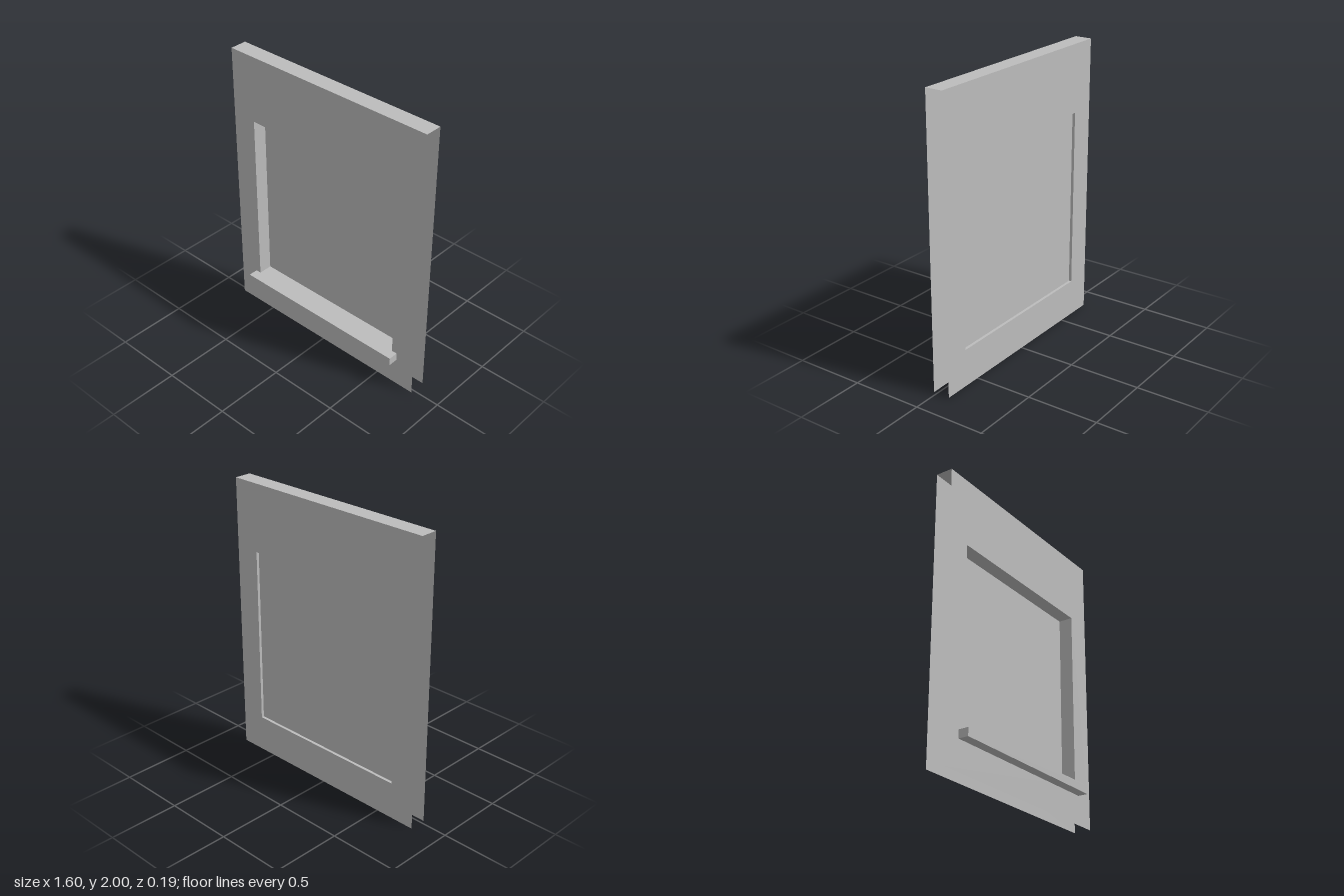
import * as THREE from 'three';

export function createModel() {
  const group = new THREE.Group();
  const grey = new THREE.MeshStandardMaterial({ color: 0xbcbcbc, side: THREE.DoubleSide });
  grey.name = 'plain grey';

  const front = 0.025, back = -0.095, paneZ = -0.075;
  const depth = front - back, midZ = (front + back) / 2;
  const halfW = 0.8, height = 2;
  const holeW = 0.62, holeBottom = 0.262, holeTop = 1.523;
  const holeH = holeTop - holeBottom, holeMidY = (holeTop + holeBottom) / 2;

  const add = (name, geometry, x, y, z) => {
    const mesh = new THREE.Mesh(geometry, grey);
    mesh.name = name;
    mesh.position.set(x, y, z);
    group.add(mesh);
    return mesh;
  };

  // Wall sheets with a window opening
  const wall = new THREE.Shape([
    new THREE.Vector2(-halfW, 0), new THREE.Vector2(halfW, 0),
    new THREE.Vector2(halfW, height), new THREE.Vector2(-halfW, height),
  ]);
  wall.holes.push(new THREE.Path([
    new THREE.Vector2(-holeW, holeBottom), new THREE.Vector2(-holeW, holeTop),
    new THREE.Vector2(holeW, holeTop), new THREE.Vector2(holeW, holeBottom),
  ]));
  add('frontWall', new THREE.ShapeGeometry(wall), 0, 0, front);
  add('backWall', new THREE.ShapeGeometry(wall).rotateY(Math.PI), 0, 0, back);

  // Cap closing the wall's top; its sides and bottom stay open
  add('wallTop', new THREE.PlaneGeometry(halfW * 2, depth).rotateX(-Math.PI / 2), 0, height, midZ);

  // Reveal lining the opening, facing inwards
  for (const side of [-1, 1]) {
    const jamb = new THREE.PlaneGeometry(depth, holeH).rotateY(-side * Math.PI / 2);
    add(side > 0 ? 'leftJamb' : 'rightJamb', jamb, side * holeW, holeMidY, midZ);
    const lining = new THREE.PlaneGeometry(holeW * 2, depth).rotateX(side * Math.PI / 2);
    add(side > 0 ? 'headLining' : 'sillLining', lining, 0, side > 0 ? holeTop : holeBottom, midZ);
  }

  // Window pane set close to the back
  add('windowPane', new THREE.PlaneGeometry(holeW * 2, holeH), 0, holeMidY, paneZ);

  // Projecting window sill
  add('windowSill', new THREE.BoxGeometry(1.32, 0.057, 0.07), 0, 0.2335, front + 0.035);

  return group;
}
